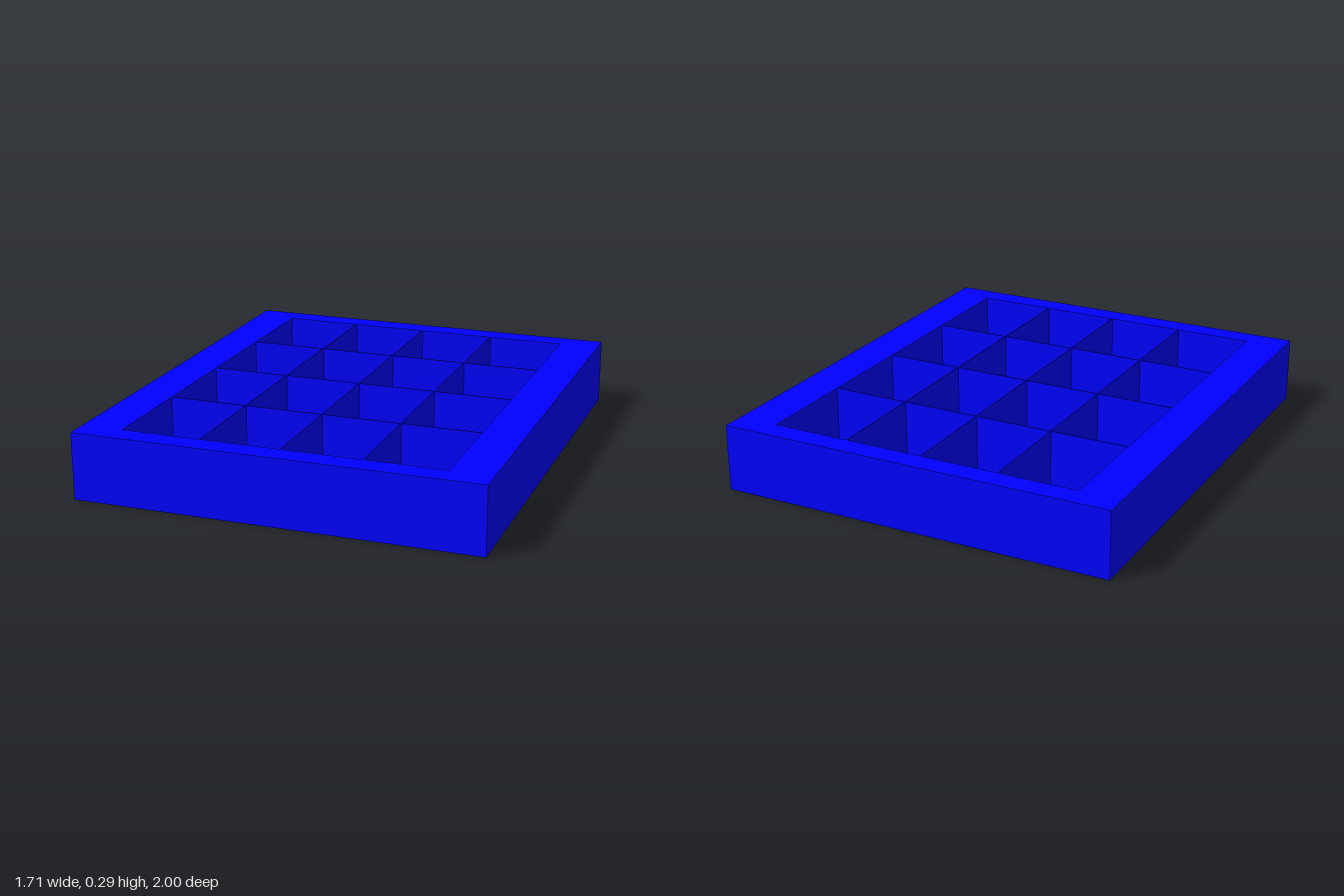
import * as THREE from 'three';

const W = 1.714, D = 2, H = 0.286;        // outer tray
const IW = 1.36, ID = 1.8;                // recess opening
const FLOOR = 0.03, WALL = 0.006, CELLS = 4;

export function createModel() {
  const tray = new THREE.Group();
  tray.name = 'compartmentTray';
  const material = new THREE.MeshStandardMaterial({ color: 0x0000ff });

  const add = (name, geometry, x = 0, y = 0, z = 0) => {
    const mesh = new THREE.Mesh(geometry, material);
    mesh.name = name;
    mesh.position.set(x, y, z);
    tray.add(mesh);
  };
  const rectangle = (path, w, d) => path
    .moveTo(-w / 2, -d / 2).lineTo(w / 2, -d / 2)
    .lineTo(w / 2, d / 2).lineTo(-w / 2, d / 2).closePath();

  // Solid outer frame around the recess
  const outline = new THREE.Shape();
  rectangle(outline, W, D);
  const opening = new THREE.Path();
  rectangle(opening, IW, ID);
  outline.holes.push(opening);
  const frame = new THREE.ExtrudeGeometry(outline, { depth: H, bevelEnabled: false });
  frame.rotateX(-Math.PI / 2);
  add('frame', frame);

  // Floor of the recess, flush with the underside
  add('floor', new THREE.BoxGeometry(IW, FLOOR, ID), 0, FLOOR / 2, 0);

  // Thin dividers, flush with the rim, making a grid of compartments
  const height = H - FLOOR, y = FLOOR + height / 2;
  for (let i = 1; i < CELLS; i++) {
    const t = i / CELLS - 0.5;
    add('lengthwiseDivider' + i, new THREE.BoxGeometry(WALL, height, ID), t * IW, y, 0);
    add('crosswiseDivider' + i, new THREE.BoxGeometry(IW, height, WALL), 0, y, t * ID);
  }
  return tray;
}
